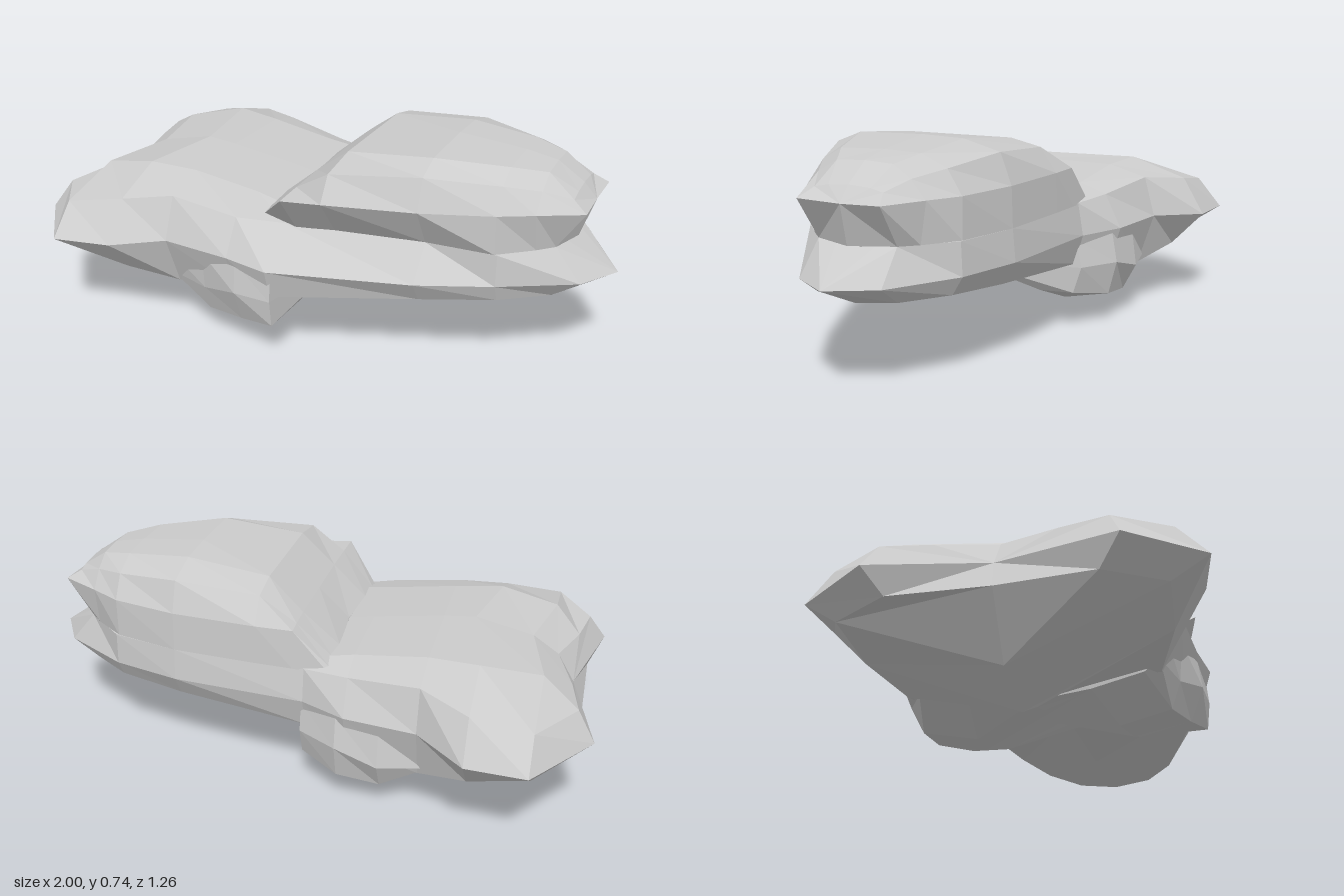
import * as THREE from 'three';

// One cross-section at x: crown centre height, levels [y, frontZ, backZ, dx] from top
// to bottom, keel height, and an optional x shift of the crown centre.
function ring(x, crownY, levels, keelY, crownDx = 0) {
  const front = levels.map(([y, f, , dx = 0]) => [x + dx, y, f]);
  const back = levels.map(([y, , b, dx = 0]) => [x + dx, y, b]).reverse();
  return [[x + crownDx, crownY, 0.01], ...front, [x, keelY, 0.02], ...back];
}

// Facetted skin over the rings, closed by a fan to a point at each end
function loft(name, rings, startTip, endTip, material) {
  const pos = [];
  const tri = (...pts) => pts.forEach((p) => pos.push(...p));
  const n = rings[0].length;
  for (let j = 0; j < n; j++) {
    const k = (j + 1) % n;
    for (let i = 0; i < rings.length - 1; i++) {
      const a = rings[i][j], b = rings[i][k], c = rings[i + 1][k], d = rings[i + 1][j];
      tri(a, b, c);
      tri(a, c, d);
    }
    const first = rings[0], last = rings[rings.length - 1];
    tri(first[k], first[j], startTip);
    tri(last[j], last[k], endTip);
  }
  const geometry = new THREE.BufferGeometry();
  geometry.setAttribute('position', new THREE.Float32BufferAttribute(pos, 3));
  geometry.computeVertexNormals();
  const mesh = new THREE.Mesh(geometry, material);
  mesh.name = name;
  return mesh;
}

export function createModel() {
  const stone = new THREE.MeshStandardMaterial({ color: 0xcccccc, flatShading: true });
  const model = new THREE.Group();
  model.name = 'rock';

  // Long lower slab: flared, keeled left end and tapering right end
  const slab = [
    ring(-0.95, 0.45, [[0.44, 0.2, -0.18, 0.04], [0.44, 0.36, -0.34, 0.01], [0.345, 0.4, -0.37, -0.05], [0.26, 0.33, -0.31]], 0.25, 0.1),
    ring(-0.82, 0.51, [[0.51, 0.28, -0.27], [0.45, 0.53, -0.54], [0.345, 0.63, -0.63], [0.27, 0.51, -0.52]], 0.06, 0.06),
    ring(-0.62, 0.555, [[0.55, 0.3, -0.33], [0.48, 0.49, -0.54], [0.345, 0.59, -0.62], [0.22, 0.49, -0.5]], 0, 0.06),
    ring(-0.45, 0.545, [[0.54, 0.28, -0.3], [0.5, 0.43, -0.44], [0.355, 0.49, -0.48], [0.17, 0.42, -0.42]], 0.09),
    ring(-0.2, 0.51, [[0.505, 0.28, -0.28], [0.47, 0.43, -0.38], [0.35, 0.505, -0.44], [0.22, 0.46, -0.4]], 0.16),
    ring(-0.04, 0.48, [[0.48, 0.3, -0.29], [0.46, 0.38, -0.34], [0.345, 0.53, -0.36], [0.24, 0.5, -0.33]], 0.22),
    ring(0.43, 0.46, [[0.46, 0.25, -0.25], [0.455, 0.3, -0.315], [0.345, 0.4, -0.325], [0.27, 0.35, -0.28]], 0.235),
    ring(0.67, 0.46, [[0.46, 0.2, -0.2], [0.455, 0.29, -0.26], [0.345, 0.295, -0.265], [0.285, 0.27, -0.23]], 0.25),
    ring(0.82, 0.46, [[0.46, 0.08, -0.07], [0.455, 0.15, -0.13], [0.345, 0.16, -0.13, 0.09], [0.285, 0.16, -0.13]], 0.265),
  ];
  model.add(loft('lowerSlab', slab, [-0.91, 0.35, 0.01], [1, 0.345, 0.02], stone));

  // Domed upper lobe: undercut at the front and right end, flush with the slab at the back
  const lobe = [
    ring(-0.13, 0.495, [[0.49, 0.2, -0.2], [0.48, 0.31, -0.28], [0.47, 0.36, -0.33], [0.45, 0.36, -0.34]], 0.42, 0.02),
    ring(0, 0.6, [[0.6, 0.22, -0.2], [0.595, 0.37, -0.28], [0.59, 0.485, -0.33], [0.455, 0.38, -0.34]], 0.42),
    ring(0.13, 0.7, [[0.7, 0.25, -0.16], [0.675, 0.4, -0.27], [0.59, 0.455, -0.33], [0.455, 0.35, -0.335]], 0.42),
    ring(0.43, 0.735, [[0.73, 0.25, -0.14], [0.695, 0.34, -0.27], [0.59, 0.38, -0.31], [0.455, 0.3, -0.315]], 0.42),
    ring(0.66, 0.715, [[0.71, 0.17, -0.12], [0.67, 0.24, -0.21], [0.59, 0.295, -0.26], [0.455, 0.29, -0.26]], 0.42),
    ring(0.77, 0.695, [[0.69, 0.11, -0.09], [0.65, 0.18, -0.15], [0.59, 0.235, -0.2], [0.455, 0.2, -0.18]], 0.43),
    ring(0.86, 0.635, [[0.63, 0.08, -0.07], [0.62, 0.13, -0.11], [0.59, 0.16, -0.13, 0.05], [0.455, 0.15, -0.13, -0.04]], 0.45),
  ];
  model.add(loft('upperLobe', lobe, [-0.12, 0.46, 0], [0.905, 0.585, 0.01], stone));

  // Pair of feet, front and back, parted by a shallow valley and growing out of the slab
  const feet = [
    ring(-0.48, 0.3, [[0.3, 0.44, -0.44], [0.2, 0.42, -0.43], [0.16, 0.37, -0.37], [0.12, 0.2, -0.2]], 0.1),
    ring(-0.32, 0.3, [[0.33, 0.47, -0.44], [0.19, 0.46, -0.46], [0.095, 0.43, -0.41], [0.055, 0.26, -0.22]], 0.12),
    ring(-0.17, 0.3, [[0.34, 0.5, -0.42], [0.23, 0.515, -0.44], [0.11, 0.47, -0.41], [0.075, 0.28, -0.24]], 0.15),
    ring(-0.03, 0.28, [[0.33, 0.51, -0.34], [0.23, 0.52, -0.36], [0.135, 0.51, -0.33], [0.13, 0.28, -0.2]], 0.2),
  ];
  model.add(loft('feet', feet, [-0.5, 0.2, 0], [0.05, 0.23, 0.07], stone));

  return model;
}
